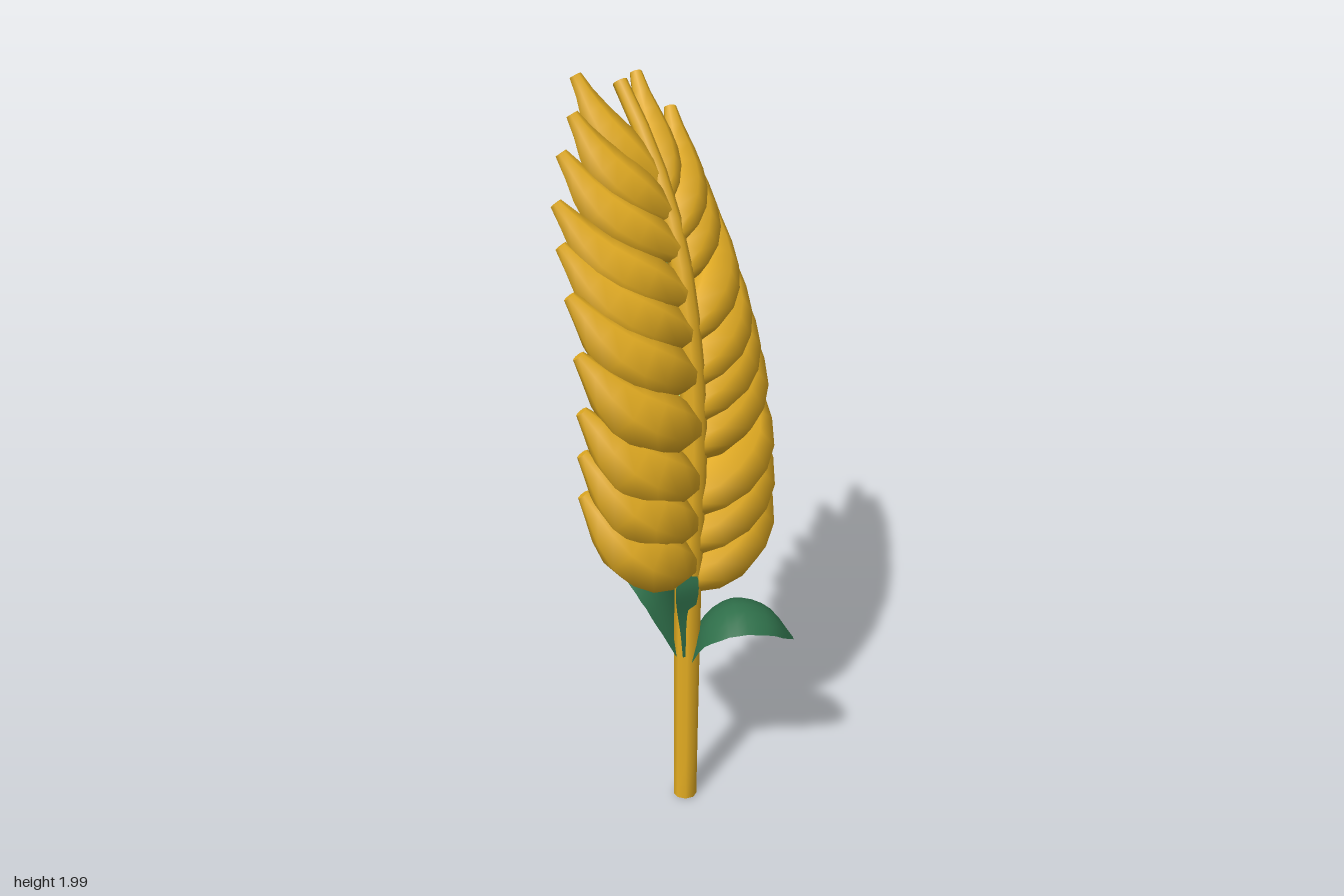
import * as THREE from 'three';
import { toCreasedNormals } from 'three/addons/utils/BufferGeometryUtils.js';

const V = (a) => new THREE.Vector3(...a);
const mat = (name, color, side = THREE.FrontSide) =>
  Object.assign(new THREE.MeshStandardMaterial({ color, side }), { name });

// Piecewise linear lookup in an evenly spaced list
function sample(list, t) {
  const f = t * (list.length - 1), i = Math.min(Math.floor(f), list.length - 2);
  return THREE.MathUtils.lerp(list[i], list[i + 1], f - i);
}

// Closed tube with varying radius and flat caps
function spindle(points, radii, rings, sides) {
  const curve = new THREE.CatmullRomCurve3(points);
  const geo = new THREE.TubeGeometry(curve, rings, 1, sides);
  const pos = geo.attributes.position, p = new THREE.Vector3();
  for (let j = 0; j <= rings; j++) {
    const c = curve.getPointAt(j / rings);
    // The end rings collapse to points and their neighbours slide out to the ends
    const t = THREE.MathUtils.clamp((j - 1) / (rings - 2), 0, 1);
    const centre = curve.getPointAt(t);
    const r = j === 0 || j === rings ? 0 : sample(radii, t);
    for (let k = 0; k <= sides; k++) {
      const i = j * (sides + 1) + k;
      p.fromBufferAttribute(pos, i).sub(c).multiplyScalar(r).add(centre);
      pos.setXYZ(i, p.x, Math.max(0, p.y), p.z);
    }
  }
  return toCreasedNormals(geo, 1.0);
}

// Leaf blade: a strip along a curve, widened along a side direction, edges drooping
function blade(points, side, halfWidths, droop) {
  const curve = new THREE.CatmullRomCurve3(points.map(V));
  const dir = V(side).normalize();
  const geo = new THREE.PlaneGeometry(2, 1, 6, 14), pos = geo.attributes.position;
  for (let i = 0; i < pos.count; i++) {
    const s = pos.getX(i), t = 0.5 - pos.getY(i);
    const w = sample(halfWidths, t);
    const p = curve.getPoint(t).addScaledVector(dir, s * w);
    pos.setXYZ(i, p.x, p.y - droop * s * s * w, p.z);
  }
  geo.computeVertexNormals();
  return geo;
}

export function createModel() {
  const root = new THREE.Group();
  root.name = 'wheatEar';
  const gold = mat('wheatGold', 0xdfa921);
  const green = mat('leafGreen', 0x2f6f4a, THREE.DoubleSide);
  const lime = mat('youngGreen', 0x9ccc65);
  const add = (name, geo, material, parent = root) => {
    const m = new THREE.Mesh(geo, material);
    m.name = name;
    parent.add(m);
  };

  // Stem, bending backwards towards the top
  const stem = [
    [0.02, 0, 0.2], [0.025, 0.4, 0.17], [0.03, 0.7, 0.15], [0.045, 1.1, 0.115],
    [0.03, 1.4, 0.07], [0, 1.6, 0.01], [-0.06, 1.8, -0.085], [-0.135, 1.96, -0.175],
  ].map(V);
  add('stem', spindle(stem, [0.032, 0.035, 0.038, 0.034, 0.028, 0.02], 18, 8), gold);
  const stemAt = (y) => {
    const i = Math.max(0, stem.findIndex((q) => q.y > y) - 1);
    return stem[i].clone().lerp(stem[i + 1], (y - stem[i].y) / (stem[i + 1].y - stem[i].y));
  };

  // Kernels: tips of the two rows, lowest first
  const rows = {
    rightKernel: [
      [-0.25, 0.97, 0.23], [-0.25, 1.09, 0.235], [-0.25, 1.21, 0.235], [-0.255, 1.36, 0.225],
      [-0.275, 1.5, 0.17], [-0.295, 1.61, 0.1], [-0.305, 1.71, 0.06], [-0.29, 1.82, -0.01],
      [-0.26, 1.91, -0.05], [-0.25, 1.985, -0.145],
    ],
    leftKernel: [
      [0.22, 0.92, -0.15], [0.22, 1.03, -0.165], [0.215, 1.14, -0.18], [0.19, 1.3, -0.23],
      [0.165, 1.4, -0.26], [0.14, 1.49, -0.28], [0.1, 1.61, -0.31], [0.035, 1.76, -0.315],
      [0, 1.855, -0.305], [-0.09, 1.945, -0.325],
    ],
  };
  const front = V([1, 0, 1]).normalize(), across = V([1, 0, -1]).normalize();
  const kernels = new THREE.Group();
  kernels.name = 'kernels';
  root.add(kernels);
  for (const [name, tips] of Object.entries(rows)) {
    tips.forEach((tip, i) => {
      const end = V(tip), start = stemAt(end.y - 0.26);
      // Upper kernels are slimmer
      const k = 1 - 0.38 * (i / 9) ** 2;
      const along = (h, v, bulge) => new THREE.Vector3(
        THREE.MathUtils.lerp(start.x, end.x, h),
        THREE.MathUtils.lerp(start.y, end.y, v),
        THREE.MathUtils.lerp(start.z, end.z, h)).addScaledVector(front, bulge * k);
      const path = [start, along(0.4, 0.2, 0.045), along(0.74, 0.47, 0.05), end];
      const radii = [0.035, 0.08, 0.097, 0.094, 0.072, 0.043].map((r) => r * k);
      add(name, spindle(path, [...radii, 0.017], 9, 7), gold, kernels);
    });
  }

  // Young shoots peeping out between the kernels on the back, shorter towards the top
  const shoots = new THREE.Group();
  shoots.name = 'youngShoots';
  root.add(shoots);
  for (let i = 0; i < 12; i++) {
    const y = 0.84 + 0.6 * Math.pow(i / 11, 0.85), reach = 0.16 - 0.011 * i;
    for (const s of [-1, 1]) {
      const base = stemAt(y).addScaledVector(front, -0.06);
      const at = (f) => base.clone().addScaledVector(across, s * (0.012 + reach * f))
        .addScaledVector(front, -0.085 * f).add(V([0, 0.09 * f, 0]));
      add('youngShoot', spindle([at(0), at(0.5), at(1)], [0.008, 0.019, 0.02, 0.005], 7, 6), lime, shoots);
    }
  }

  // Leaves around the stem
  add('leftLeaf', blade(
    [[0.03, 0.42, 0.17], [0.075, 0.54, 0.17], [0.155, 0.595, 0.17], [0.25, 0.57, 0.165], [0.32, 0.48, 0.16]],
    [0.05, 0, 1], [0.02, 0.055, 0.09, 0.102, 0.095, 0.065, 0.006], 0.4), green);
  add('backLeaf', blade(
    [[0.02, 0.42, 0.165], [-0.02, 0.55, 0.13], [-0.06, 0.64, 0.095], [-0.11, 0.675, 0.065], [-0.16, 0.63, 0.025]],
    [0.55, 0, -1], [0.02, 0.05, 0.075, 0.085, 0.075, 0.05, 0.006], 0.35), green);
  add('frontLeaf', blade(
    [[0.02, 0.45, 0.2], [0.022, 0.57, 0.195], [0.025, 0.66, 0.2], [0.025, 0.71, 0.185]],
    [1, 0, -0.5], [0.008, 0.016, 0.028, 0.036, 0.034, 0.024], 0), green);
  return root;
}
